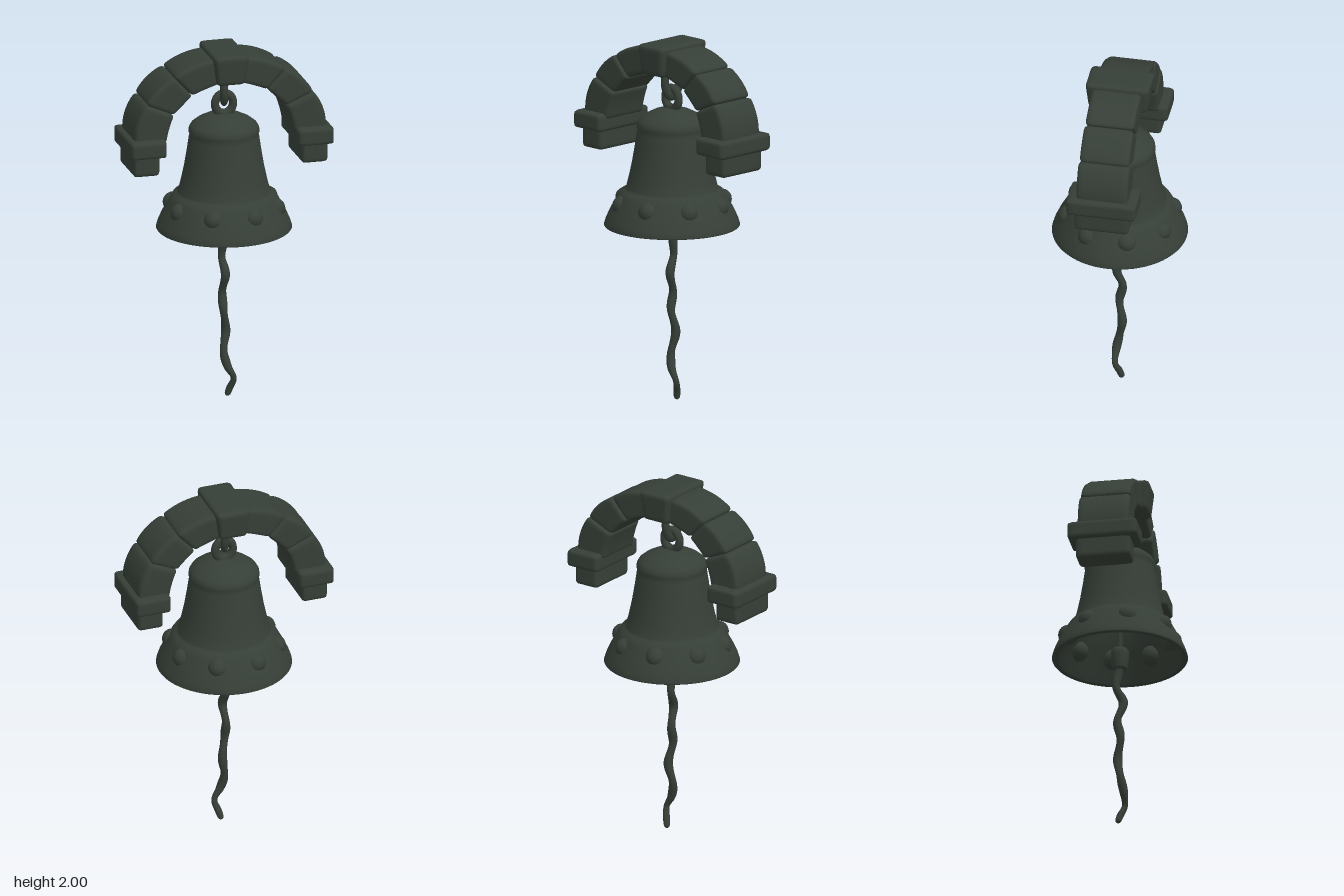
import * as THREE from 'three';
import { mergeVertices } from 'three/addons/utils/BufferGeometryUtils.js';

const darkIron = new THREE.MeshStandardMaterial({ color: 0x363f37 });
darkIron.name = 'dark iron green';

function add(parent, name, geometry, x = 0, y = 0, z = 0) {
  const mesh = new THREE.Mesh(geometry, darkIron);
  mesh.name = name;
  mesh.position.set(x, y, z);
  parent.add(mesh);
  return mesh;
}

// Box with worn, rounded edges; warp(v) may bend or taper each vertex.
function softBox(w, h, d, r, warp) {
  const n = 14;
  let g = new THREE.BoxGeometry(w, h, d, n, n, n);
  g.deleteAttribute('uv');
  g.deleteAttribute('normal');
  g = mergeVertices(g, 1e-5);
  const half = new THREE.Vector3(w / 2 - r, h / 2 - r, d / 2 - r);
  const low = half.clone().negate();
  const p = g.attributes.position;
  const v = new THREE.Vector3();
  const core = new THREE.Vector3();
  for (let i = 0; i < p.count; i++) {
    v.fromBufferAttribute(p, i);
    core.copy(v).clamp(low, half);
    v.sub(core).setLength(r).add(core);
    if (warp) warp(v);
    p.setXYZ(i, v.x, v.y, v.z);
  }
  g.computeVertexNormals();
  return g;
}

// Wedge of the elliptical arch between two angles (degrees).
function archBlock(from, to, depth) {
  const a0 = THREE.MathUtils.degToRad(from);
  const a1 = THREE.MathUtils.degToRad(to);
  const length = (a1 - a0) * 0.45;
  const h = 0.16;
  return softBox(length, h, depth, 0.022, (v) => {
    const a = (a0 + a1) / 2 - v.x / 0.45;
    const t = v.y / h + 0.5;
    const bulge = 0.012 * Math.cos((v.x / length) * Math.PI);
    const rx = 0.36 + 0.18 * t + bulge * (t - 0.5);
    const ry = 0.31 + 0.14 * t + bulge * (t - 0.5);
    v.x = rx * Math.cos(a);
    v.y = 1.53 + ry * Math.sin(a);
  });
}

function buildArch() {
  const arch = new THREE.Group();
  arch.name = 'stoneArch';
  const joints = [-1, 29, 54, 82];
  const depths = [0.285, 0.275, 0.27];
  depths.forEach((depth, i) => {
    add(arch, 'leftArchBlock', archBlock(joints[i], joints[i + 1], depth));
    add(arch, 'rightArchBlock', archBlock(180 - joints[i + 1], 180 - joints[i], depth));
  });
  // Keystone, wider towards the top
  add(arch, 'keystone', softBox(0.18, 0.17, 0.34, 0.025, (v) => {
    const t = v.y / 0.17;
    v.x *= 1 + 0.25 * t;
    v.z *= 1 + 0.1 * t;
  }), 0, 1.915, 0);
  // Stepped feet of the arch
  for (const s of [1, -1]) {
    add(arch, 'footSlab', softBox(0.205, 0.1, 0.385, 0.022), s * 0.472, 1.505, 0);
    add(arch, 'footBlock', softBox(0.148, 0.15, 0.3, 0.022), s * 0.475, 1.42, 0);
  }
  return arch;
}

function buildBell() {
  const bell = new THREE.Group();
  bell.name = 'bell';
  // Closed wall section: inside from crown to lip, then outside back up
  const profile = [
    [0, 1.56], [0.11, 1.54], [0.16, 1.49], [0.185, 1.35], [0.215, 1.22], [0.26, 1.13],
    [0.325, 1.01], [0.338, 0.978], [0.345, 0.974], [0.366, 0.974], [0.371, 0.98],
    [0.362, 1.01], [0.34, 1.06], [0.318, 1.1], [0.295, 1.145], [0.28, 1.168], [0.262, 1.178],
    [0.25, 1.19], [0.235, 1.25], [0.218, 1.33], [0.203, 1.42], [0.192, 1.495], [0.187, 1.512],
    [0.193, 1.522], [0.192, 1.545], [0.18, 1.566], [0.15, 1.59], [0.1, 1.615], [0.05, 1.628], [0, 1.63],
  ].map(([r, y]) => new THREE.Vector2(r, y));
  add(bell, 'bellBody', new THREE.LatheGeometry(profile, 64));
  // Studs around the flare
  const stud = new THREE.SphereGeometry(0.056, 20, 14);
  for (let i = 0; i < 8; i++) {
    const a = THREE.MathUtils.degToRad(27 + 45 * i);
    add(bell, 'stud', stud, 0.284 * Math.cos(a), 1.1, 0.284 * Math.sin(a));
  }
  return bell;
}

function buildHanger() {
  const hanger = new THREE.Group();
  hanger.name = 'hanger';
  const lower = add(hanger, 'lowerLink', new THREE.TorusGeometry(0.051, 0.023, 12, 28), 0, 1.682, 0);
  lower.scale.y = 1.1;
  const upper = add(hanger, 'upperLink', new THREE.TorusGeometry(0.045, 0.022, 12, 28), 0, 1.775, 0);
  upper.rotation.y = Math.PI / 2 - 0.25;
  upper.scale.y = 1.6;
  add(hanger, 'hangerRoot', new THREE.CylinderGeometry(0.042, 0.028, 0.06, 16), 0, 1.825, 0);
  return hanger;
}

function buildClapper() {
  const clapper = new THREE.Group();
  clapper.name = 'clapper';
  add(clapper, 'clapperRod', new THREE.CylinderGeometry(0.014, 0.014, 0.56, 12), 0, 1.29, 0);
  const weight = [[0, 0.905], [0.036, 0.908], [0.042, 0.918], [0.05, 0.99], [0.05, 1.015], [0.04, 1.03], [0, 1.035]];
  add(clapper, 'clapperWeight', new THREE.LatheGeometry(weight.map(([r, y]) => new THREE.Vector2(r, y)), 20), -0.003, 0, 0);

  // Wavy pull rope, thinner at its loose end
  const path = new THREE.CatmullRomCurve3([
    [-0.003, 0.93, 0], [-0.002, 0.88, -0.01], [-0.008, 0.8, -0.02], [0.003, 0.71, 0.018],
    [-0.006, 0.6, -0.014], [-0.004, 0.5, 0.004], [0.014, 0.38, -0.015], [-0.003, 0.26, 0.004],
    [0.015, 0.18, 0.018], [0.05, 0.11, 0.018], [0.034, 0.05, -0.004], [0.024, 0.014, -0.014],
  ].map((p) => new THREE.Vector3(...p)));
  const steps = 90, sides = 12;
  const rope = new THREE.TubeGeometry(path, steps, 0.022, sides);
  const pos = rope.attributes.position;
  const v = new THREE.Vector3();
  for (let i = 0; i <= steps; i++) {
    const u = i / steps;
    const c = path.getPointAt(u);
    const k = 1.05 + 0.12 * Math.sin(u * 34) - 0.35 * Math.max(0, (u - 0.75) / 0.25);
    for (let j = 0; j <= sides; j++) {
      const n = i * (sides + 1) + j;
      v.fromBufferAttribute(pos, n).sub(c).multiplyScalar(k).add(c);
      pos.setXYZ(n, v.x, v.y, v.z);
    }
  }
  add(clapper, 'rope', rope);
  add(clapper, 'ropeEnd', new THREE.SphereGeometry(0.0155, 12, 10), 0.024, 0.0155, -0.014);
  return clapper;
}

export function createModel() {
  const model = new THREE.Group();
  model.name = 'hangingBell';
  model.add(buildArch(), buildBell(), buildHanger(), buildClapper());
  return model;
}
